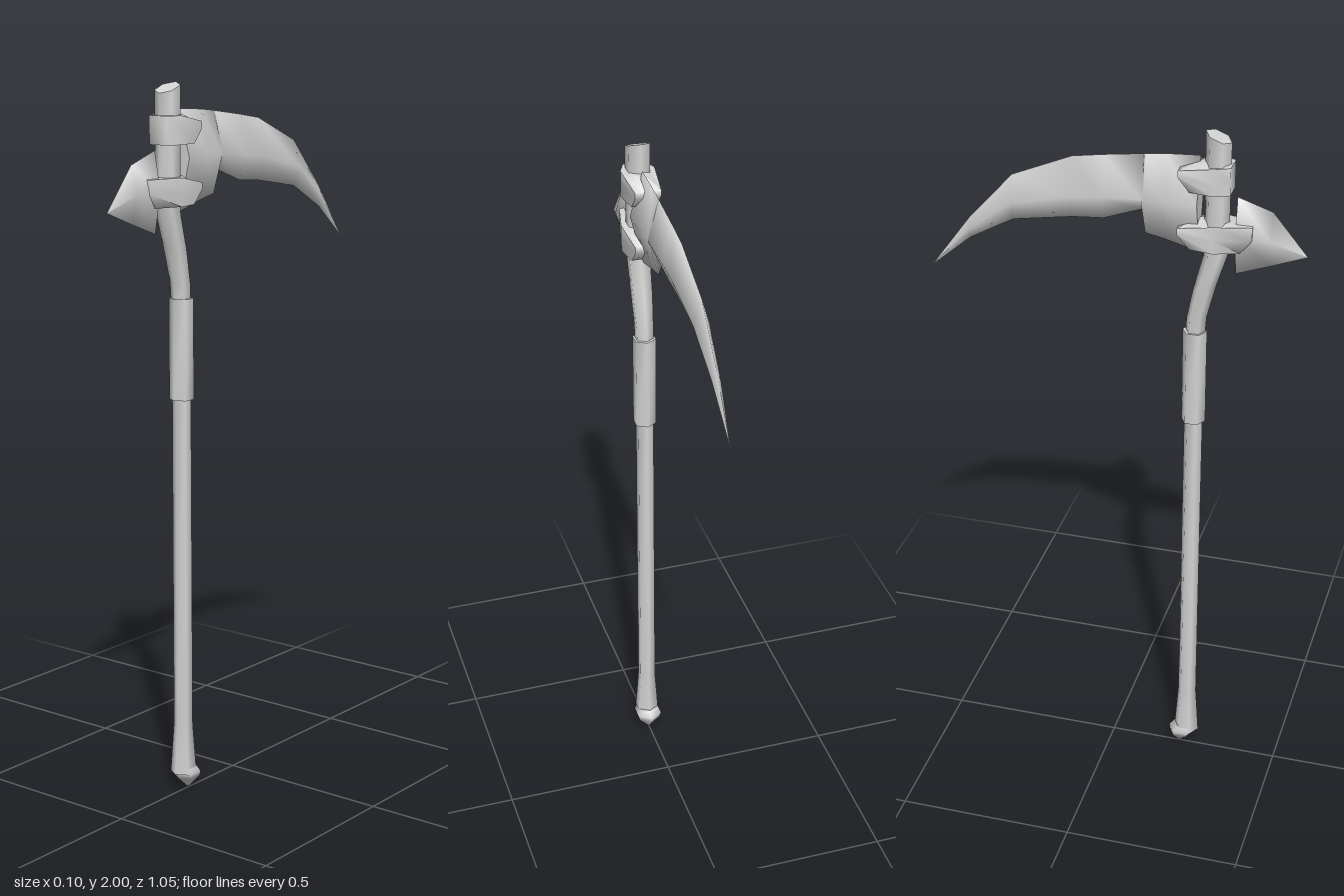
import * as THREE from 'three';
import { toCreasedNormals } from 'three/addons/utils/BufferGeometryUtils.js';

const steel = new THREE.MeshStandardMaterial({ color: 0xd4d4d4 });
steel.name = 'light grey steel';

function part(name, geometry) {
  const mesh = new THREE.Mesh(geometry, steel);
  mesh.name = name;
  return mesh;
}

// Smooth skin over a row of rings, each counter-clockwise seen from the far end, with flat ends
function loft(rings) {
  const n = rings[0].length, last = rings.length - 1;
  const points = [...rings.flat(), ...rings[0], ...rings[last]];
  const index = [];
  for (let i = 0; i < last; i++) {
    for (let j = 0; j < n; j++) {
      const k = (j + 1) % n, a = i * n, b = a + n;
      index.push(a + j, a + k, b + k, a + j, b + k, b + j);
    }
  }
  const start = rings.length * n, end = start + n;
  for (let j = 1; j < n - 1; j++) {
    index.push(start, start + j + 1, start + j, end, end + j, end + j + 1);
  }
  const geometry = new THREE.BufferGeometry().setFromPoints(points);
  geometry.setIndex(index);
  geometry.computeVertexNormals();
  return geometry;
}

// Six-sided rod; each station is [y, z, radius, slant]
function rod(stations) {
  return loft(stations.map(([y, z, r, slant = 0]) =>
    Array.from({ length: 6 }, (_, i) => {
      const a = Math.PI / 6 + i * Math.PI / 3;
      const dz = -Math.sin(a) * r;
      return new THREE.Vector3(Math.cos(a) * r, y + slant * dz, z + dz);
    })));
}

// Diamond-section blade along dir * z; each station is [z, top, ridge, bottom, half width]
function blade(dir, stations) {
  return loft(stations.map(([z, top, ridge, bottom, w]) => [
    new THREE.Vector3(dir * w, ridge, z),
    new THREE.Vector3(0, top, z),
    new THREE.Vector3(-dir * w, ridge, z),
    new THREE.Vector3(0, bottom, z),
  ]));
}

// Slotted collar from half a plan [x, z], its underside drawn in towards the rod
function collar(half, bottom, height, shrinkFront, shrinkBack) {
  const plan = [...half, ...half.slice().reverse().map(([x, z]) => [-x, z])];
  const shape = new THREE.Shape(plan.map(([x, z]) => new THREE.Vector2(x, -z)));
  const geometry = new THREE.ExtrudeGeometry(shape, { depth: height, steps: 2, bevelEnabled: false });
  geometry.rotateX(-Math.PI / 2);
  const p = geometry.attributes.position;
  for (let i = 0; i < p.count; i++) {
    const t = p.getY(i) / height, z = p.getZ(i);
    const shrink = z > 0.28 ? shrinkFront : shrinkBack;
    if (t < 0.25) p.setZ(i, 0.28 + (z - 0.28) * shrink);
    // The rear arms slope down a little at the top
    const droop = t > 0.9 && z < 0.2 ? 0.02 : 0;
    p.setY(i, bottom + t * height - droop);
  }
  return toCreasedNormals(geometry, 1.4);
}

export function createModel() {
  const model = new THREE.Group();
  model.name = 'scythe';

  // Handle
  model.add(part('pommel', rod([
    [0, 0.207, 0], [0.04, 0.214, 0.038], [0.055, 0.218, 0.043], [0.075, 0.225, 0.034],
  ])));
  model.add(part('shaft', rod([
    [0.055, 0.228, 0.037], [0.2, 0.228, 0.027], [1.2, 0.228, 0.026],
  ])));
  model.add(part('grip', rod([[1.14, 0.228, 0.034], [1.42, 0.227, 0.034]])));

  // Bent neck and upright head post with a slanted top
  model.add(part('neck', rod([
    [1.4, 0.228, 0.027], [1.46, 0.231, 0.028, 0.15], [1.555, 0.252, 0.032, 0.3],
    [1.655, 0.28, 0.034, 0.2], [1.72, 0.281, 0.034], [1.987, 0.28, 0.035, -0.4],
  ])));

  // Collars holding the blade
  const arms = [[0.008, 0.23], [0.008, 0.18], [0.037, 0.18], [0.048, 0.28]];
  model.add(part('upperCollar', collar([...arms, [0.03, 0.32]], 1.838, 0.077, 1, 0.68)));
  model.add(part('lowerCollar', collar([...arms, [0.024, 0.38]], 1.675, 0.077, 0.7, 0.65)));

  // Long curved blade
  model.add(part('blade', blade(-1, [
    [0.233, 1.93, 1.8, 1.655, 0.036],
    [0.14, 1.924, 1.8, 1.68, 0.035],
    [0.085, 1.918, 1.8, 1.692, 0.031],
    [0.08, 1.917, 1.8, 1.76, 0.031],
    [-0.03, 1.902, 1.79, 1.72, 0.027],
    [-0.117, 1.888, 1.78, 1.713, 0.025],
    [-0.285, 1.816, 1.74, 1.685, 0.022],
    [-0.41, 1.676, 1.645, 1.615, 0.012],
    [-0.527, 1.515, 1.515, 1.515, 0],
  ])));

  // Short spike on the opposite side
  model.add(part('spike', blade(1, [
    [0.334, 1.825, 1.72, 1.603, 0.019],
    [0.43, 1.793, 1.715, 1.638, 0.021],
    [0.527, 1.676, 1.676, 1.676, 0],
  ])));

  return model;
}
